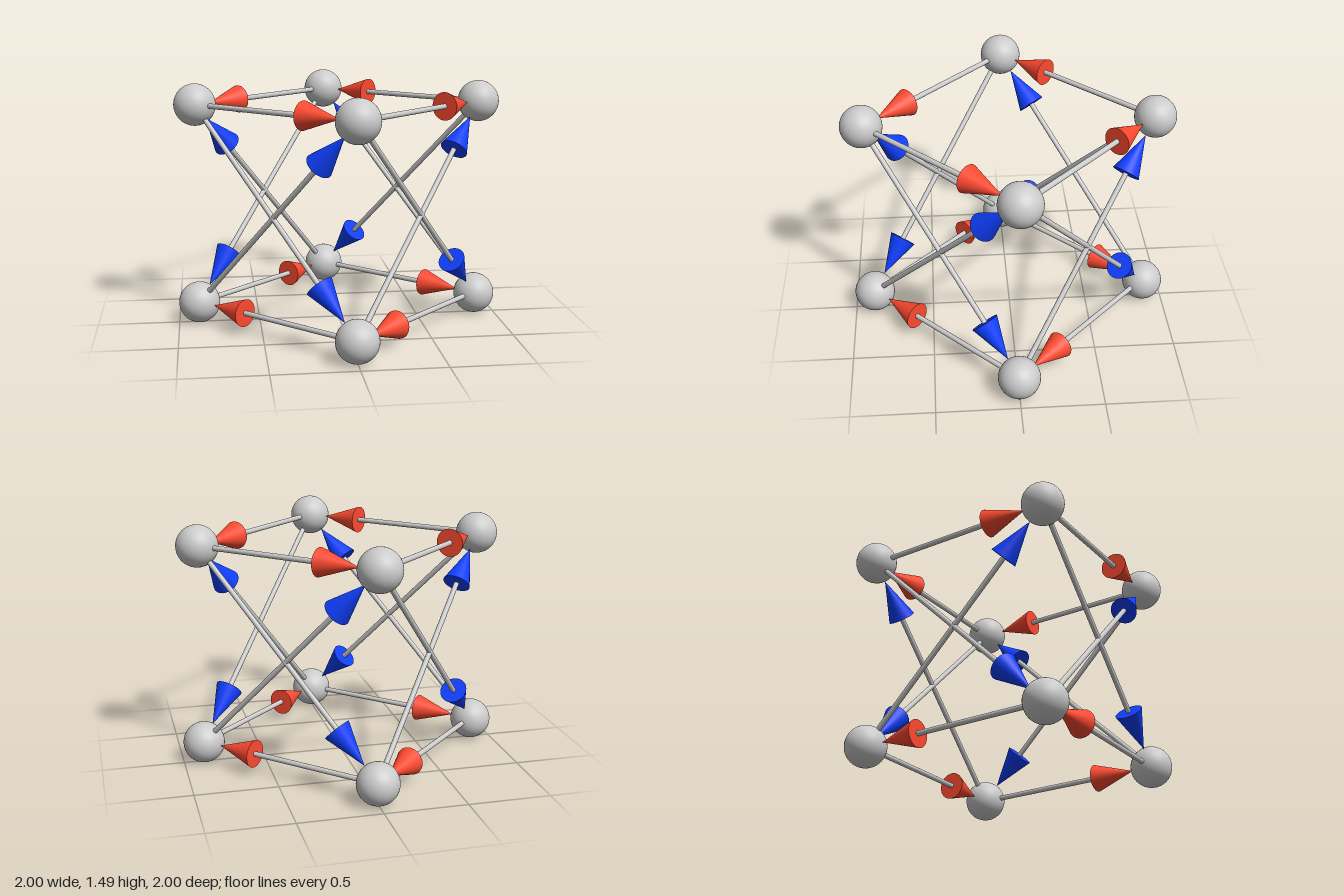
import * as THREE from 'three';

const BALL = 0.127, ROD = 0.016, HEAD_R = 0.085, HEAD_L = 0.257;
const REACH = 0.873, LOW = 0.127, HIGH = LOW + REACH * Math.SQRT2;

const grey = new THREE.MeshStandardMaterial({ color: 0xcccccc });
const red = new THREE.MeshStandardMaterial({ color: 0xff4a30 });
const blue = new THREE.MeshStandardMaterial({ color: 0x0f3fff });

// Arrow between two ball centres, its tip touching the target ball
function makeArrow(name, from, to, headMaterial) {
  const arrow = new THREE.Group();
  arrow.name = name;
  const length = from.distanceTo(to);
  const rodLength = length - BALL - HEAD_L / 2;

  const rod = new THREE.Mesh(new THREE.CylinderGeometry(ROD, ROD, rodLength, 20), grey);
  rod.name = 'rod';
  rod.position.y = rodLength / 2;

  const head = new THREE.Mesh(new THREE.ConeGeometry(HEAD_R, HEAD_L, 40), headMaterial);
  head.name = 'arrowHead';
  head.position.y = length - BALL - HEAD_L / 2;

  arrow.add(rod, head);
  arrow.position.copy(from);
  arrow.quaternion.setFromUnitVectors(
    new THREE.Vector3(0, 1, 0), to.clone().sub(from).normalize());
  return arrow;
}

export function createModel() {
  const model = new THREE.Group();
  model.name = 'cubeOfArrows';

  // Corners run +z, +x, -z, -x
  const corner = (i, y) => {
    const a = (i % 4) * Math.PI / 2;
    return new THREE.Vector3(REACH * Math.sin(a), y, REACH * Math.cos(a));
  };

  const ballGeometry = new THREE.SphereGeometry(BALL, 40, 24);
  for (let i = 0; i < 4; i++) {
    // Balls at the cube's corners
    for (const [name, y] of [['lowerBall', LOW], ['upperBall', HIGH]]) {
      const ball = new THREE.Mesh(ballGeometry, grey);
      ball.name = name;
      ball.position.copy(corner(i, y));
      model.add(ball);
    }
    // Upper and lower rings circulate in opposite senses; both diagonals follow the upper one
    model.add(
      makeArrow('upperRingArrow', corner(i, HIGH), corner(i + 1, HIGH), red),
      makeArrow('lowerRingArrow', corner(i + 1, LOW), corner(i, LOW), red),
      makeArrow('risingDiagonalArrow', corner(i, LOW), corner(i + 1, HIGH), blue),
      makeArrow('fallingDiagonalArrow', corner(i, HIGH), corner(i + 1, LOW), blue));
  }
  return model;
}
